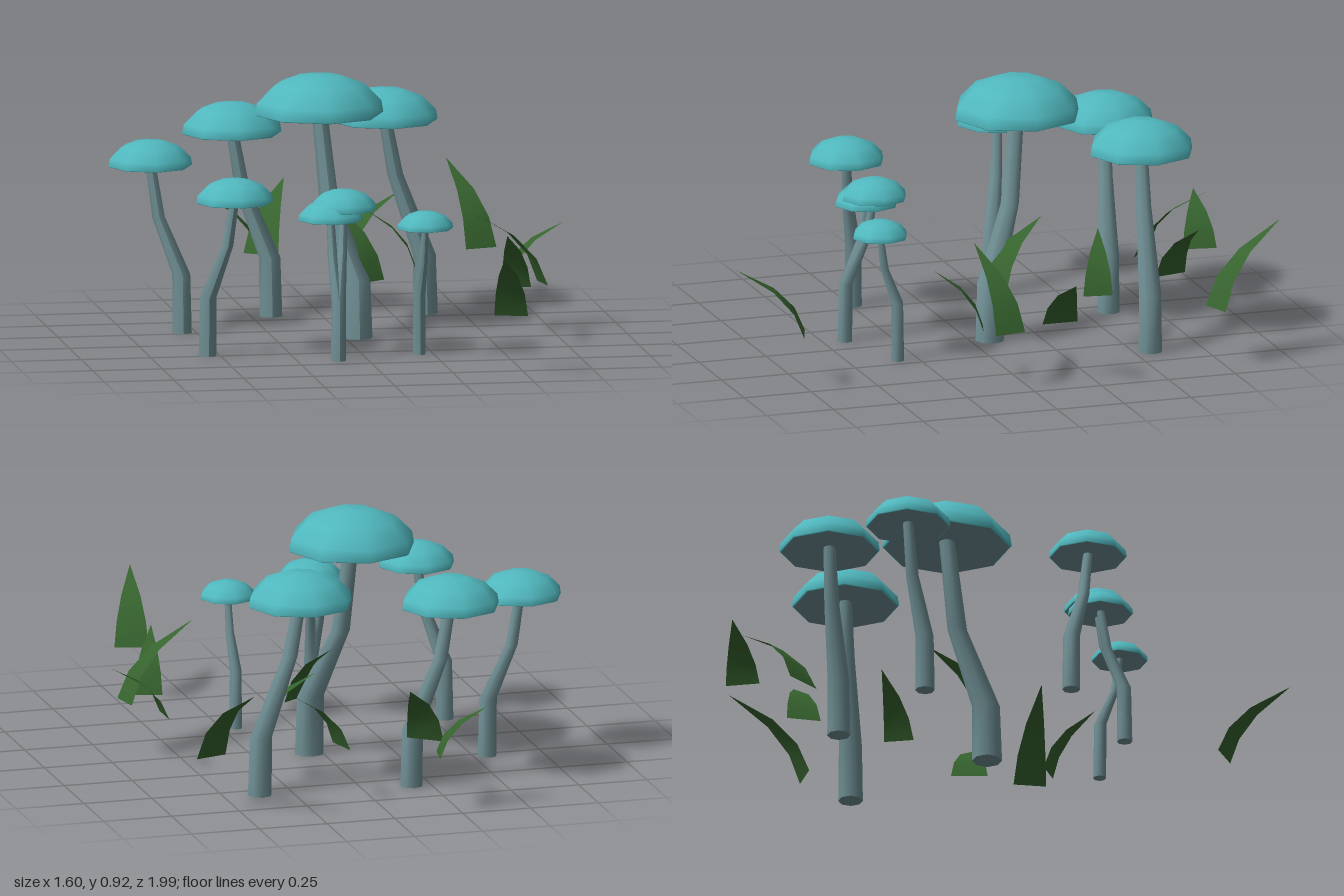
import * as THREE from 'three';

const mat = (name, color, extra = {}) => {
  const m = new THREE.MeshStandardMaterial({ color, ...extra });
  m.name = name;
  return m;
};

// x, z of foot; x, z of cap; cap rim height; cap radius; height of upper bend
const MUSHROOMS = [
  [0.045, -0.07, -0.07, -0.21, 0.78, 0.23, 0.47],
  [0.37, -0.56, 0.225, -0.575, 0.69, 0.19, 0.5],
  [-0.18, -0.59, -0.315, -0.62, 0.653, 0.178, 0.46],
  [-0.55, -0.277, -0.655, -0.335, 0.59, 0.15, 0.41],
  [-0.545, 0.24, -0.457, 0.297, 0.555, 0.138, 0.4],
  [-0.105, 0.42, -0.072, 0.322, 0.523, 0.118, 0.38],
  [-0.105, 0.42, -0.12, 0.335, 0.49, 0.115, 0.36],
  [0.2, 0.325, 0.21, 0.395, 0.46, 0.1, 0.34],
];

// two foot corners (x, z), then tip (x, y, z)
const BLADES = [
  [-0.17, -0.99, -0.19, -0.87, -0.352, 0.375, -0.963],
  [-0.25, -0.76, -0.14, -0.67, -0.077, 0.44, -0.93],
  [0.655, -0.745, 0.54, -0.71, 0.515, 0.485, -0.995],
  [0.1, -0.78, 0.13, -0.66, 0.31, 0.41, -0.76],
  [0.295, -0.335, 0.31, -0.44, 0.13, 0.4, -0.445],
  [0.145, -0.1, 0.045, -0.03, 0.02, 0.43, -0.27],
  [0.6, -0.21, 0.6, -0.08, 0.795, 0.385, -0.14],
  [0.4, 0.74, 0.515, 0.78, 0.395, 0.44, 0.995],
  [0.675, 0.01, 0.695, 0.125, 0.42, 0.47, 0.115],
  [0.53, 0.12, 0.63, 0.15, 0.52, 0.41, 0.3],
];

// Bent stem: a cylinder whose rings are slid along the path and tapered
function stemGeometry([fx, fz, cx, cz, rim, r, bend]) {
  const levels = [0, 0.21, bend, rim + r * 0.1];
  const slide = [0, 0.03, 0.74, 1];
  const radius = [0.23, 0.215, 0.15, 0.12];
  const geo = new THREE.CylinderGeometry(1, 1, 1, 8, 3);
  const p = geo.attributes.position;
  for (let i = 0; i < p.count; i++) {
    const k = Math.round((p.getY(i) + 0.5) * 3);
    p.setXYZ(
      i,
      fx + (cx - fx) * slide[k] + p.getX(i) * radius[k] * r,
      levels[k],
      fz + (cz - fz) * slide[k] + p.getZ(i) * radius[k] * r
    );
  }
  geo.computeVertexNormals();
  return geo;
}

// Curved blade: both foot corners sweep towards the tip while rising
function bladeGeometry([ax, az, bx, bz, tx, ty, tz]) {
  const foot = 0.2;
  const rise = [0, 0.36, 0.68, 1];
  const lean = [0, 0.15, 0.45, 1];
  const pts = [];
  for (let k = 0; k < 4; k++) {
    const y = foot + (ty - foot) * rise[k];
    for (const [x, z] of [[ax, az], [bx, bz]]) {
      pts.push(x + (tx - x) * lean[k], y, z + (tz - z) * lean[k]);
    }
  }
  const geo = new THREE.BufferGeometry();
  geo.setAttribute('position', new THREE.Float32BufferAttribute(pts, 3));
  geo.setIndex([0, 1, 2, 1, 3, 2, 2, 3, 4, 3, 5, 4, 4, 5, 6]);
  geo.computeVertexNormals();
  return geo;
}

export function createModel() {
  const root = new THREE.Group();
  root.name = 'mushroomPatch';
  const capMat = mat('cap teal', 0x50b8be);
  const stemMat = mat('stem grey teal', 0x6f8f94);
  const grassMat = mat('grass green', 0x36632e, { side: THREE.DoubleSide });

  const add = (parent, name, geo, material) => {
    const mesh = new THREE.Mesh(geo, material);
    mesh.name = name;
    parent.add(mesh);
    return mesh;
  };

  // Unit cap profiles: dome above, shallow hollow below
  const profile = (list) => list.map(([x, y]) => new THREE.Vector2(x, y));
  const dome = new THREE.LatheGeometry(
    profile([[0.97, 0], [1, 0.02], [0.97, 0.2], [0.7, 0.47], [0.36, 0.6], [0, 0.63]]), 8);
  const gills = new THREE.LatheGeometry(profile([[0, 0.1], [0.97, 0]]), 8);

  for (const spec of MUSHROOMS) {
    const [, , cx, cz, rim, r] = spec;
    const mushroom = new THREE.Group();
    mushroom.name = 'mushroom';
    add(mushroom, 'stem', stemGeometry(spec), stemMat);
    for (const [name, geo, m] of [['cap', dome, capMat], ['gills', gills, stemMat]]) {
      const part = add(mushroom, name, geo, m);
      part.position.set(cx, rim, cz);
      part.scale.setScalar(r);
    }
    root.add(mushroom);
  }

  // Grass blades
  const grass = new THREE.Group();
  grass.name = 'grass';
  for (const blade of BLADES) add(grass, 'grassBlade', bladeGeometry(blade), grassMat);
  root.add(grass);

  return root;
}
